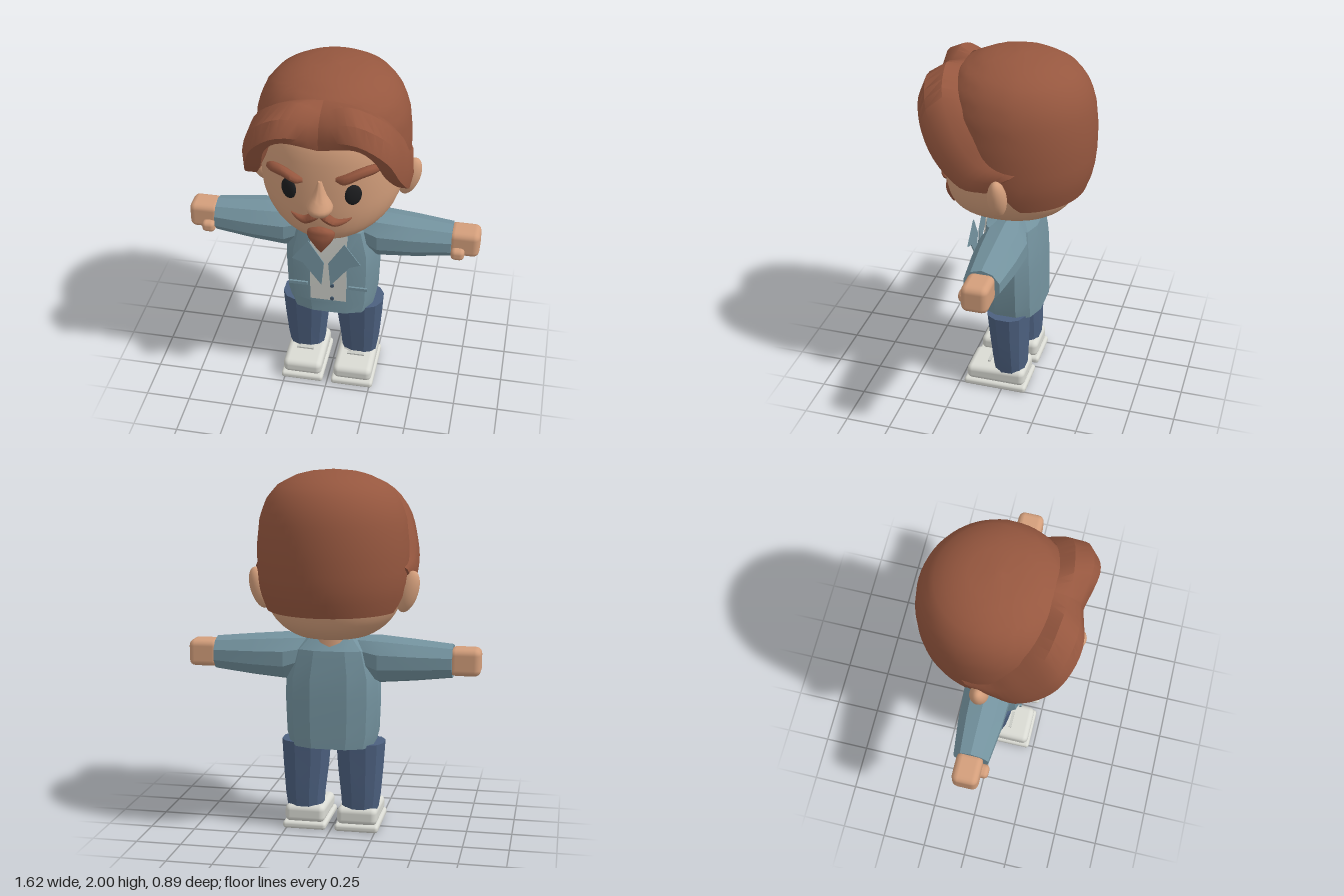
import * as THREE from 'three';
import { toCreasedNormals } from 'three/addons/utils/BufferGeometryUtils.js';
import { RoundedBoxGeometry } from 'three/addons/geometries/RoundedBoxGeometry.js';

const V = (x, y, z) => new THREE.Vector3(x, y, z);
const mat = (name, color) => {
  const m = new THREE.MeshStandardMaterial({ color });
  m.name = name;
  return m;
};

// Closed skin over a list of rings with equal point counts, always facing outwards
function loft(rings, crease = 0.9) {
  const n = rings[0].length, pts = rings.flat(), idx = [];
  for (let r = 0; r < rings.length - 1; r++) {
    for (let i = 0; i < n; i++) {
      const a = r * n + i, b = r * n + (i + 1) % n;
      idx.push(a, b, b + n, a, b + n, a + n);
    }
  }
  for (const [r, flip] of [[0, true], [rings.length - 1, false]]) {
    const c = pts.length;
    pts.push(rings[r].reduce((s, p) => s.add(p), V(0, 0, 0)).divideScalar(n));
    for (let i = 0; i < n; i++) {
      const a = r * n + i, b = r * n + (i + 1) % n;
      idx.push(...(flip ? [c, b, a] : [c, a, b]));
    }
  }
  let vol = 0;
  const mid = pts.reduce((s, p) => s.add(p), V(0, 0, 0)).divideScalar(pts.length);
  for (let i = 0; i < idx.length; i += 3) {
    const [a, b, c] = [0, 1, 2].map(k => pts[idx[i + k]].clone().sub(mid));
    vol += a.dot(b.cross(c));
  }
  if (vol < 0) idx.reverse();
  const g = new THREE.BufferGeometry().setFromPoints(pts);
  g.setIndex(idx);
  return toCreasedNormals(g, crease);
}

// Horizontal superellipse ring
function ring(y, rx, rz, cx = 0, cz = 0, n = 32, power = 2) {
  return Array.from({ length: n }, (_, i) => {
    const a = (i + 0.5) / n * Math.PI * 2, c = Math.cos(a), s = Math.sin(a);
    const e = 2 / power;
    return V(cx + rx * Math.sign(c) * Math.abs(c) ** e, y, cz + rz * Math.sign(s) * Math.abs(s) ** e);
  });
}

// Smooth a set of rings along their length
function smoothRings(rings, steps) {
  const curves = rings[0].map((_, i) => new THREE.CatmullRomCurve3(rings.map(r => r[i]), false, 'catmullrom', 0.5));
  return Array.from({ length: steps + 1 }, (_, k) => curves.map(c => c.getPoint(k / steps)));
}

// Tapered strand running in x: stations are [x, y, z, half height, half depth]
const strand = (stations, s = 1) => loft(smoothRings(stations.map(([x, y, z, h, d]) =>
  Array.from({ length: 8 }, (_, i) => {
    const a = i * Math.PI / 4;
    return V(s * x, y + h * Math.sin(a), z + d * Math.cos(a));
  })), 12));

// Linear lookup in a table of [key, value]
function lookup(table, k) {
  for (let i = 1; i < table.length; i++) {
    const [a, va] = table[i - 1], [b, vb] = table[i];
    if (k <= b) return va + (vb - va) * (k - a) / (b - a);
  }
  return table[table.length - 1][1];
}

export function createModel() {
  const root = new THREE.Group();
  root.name = 'figure';
  const skin = mat('skin', 0xd39e7b), hair = mat('hair', 0x96573f), teal = mat('jacket', 0x74939f);
  const denim = mat('denim', 0x4c607f), white = mat('shoe white', 0xd9dad3), grey = mat('shirt', 0xc8cac4);
  const black = mat('eye black', 0x1c1d1f), dark = mat('button', 0x41566a);
  grey.side = teal.side = THREE.DoubleSide;
  const add = (name, geo, m, x = 0, y = 0, z = 0) => {
    const mesh = new THREE.Mesh(geo, m);
    mesh.name = name;
    mesh.position.set(x, y, z);
    root.add(mesh);
    return mesh;
  };

  // Head: [y, half width, half depth, centre z]
  const head = [[1.1, 0.17, 0.22, 0.03], [1.115, 0.22, 0.27, 0.025], [1.16, 0.285, 0.32, 0.01], [1.22, 0.335, 0.348, 0],
    [1.3, 0.368, 0.364, -0.005], [1.4, 0.382, 0.37, -0.008], [1.55, 0.382, 0.37, -0.01], [1.7, 0.36, 0.355, -0.015],
    [1.82, 0.3, 0.29, -0.03], [1.92, 0.17, 0.17, -0.03]];
  add('head', loft(smoothRings(head.map(([y, a, b, c]) => ring(y, a, b, 0, c, 40, 2.15)), 24), 0.8), skin);
  add('neck', new THREE.CylinderGeometry(0.11, 0.115, 0.18, 12), skin, 0, 1.04, -0.03);
  const nose = [[1.315, 0.02, 0.02, 0.365], [1.33, 0.05, 0.05, 0.37], [1.365, 0.07, 0.075, 0.372], [1.4, 0.06, 0.062, 0.37],
    [1.45, 0.034, 0.042, 0.36], [1.52, 0.01, 0.015, 0.36]];
  add('nose', loft(smoothRings(nose.map(([y, a, b, c]) => ring(y, a, b, 0, c, 16)), 14)), skin);

  // Hair cap: radius by height, lower edge by angle from the front
  const radius = [[1.25, 0.362], [1.35, 0.398], [1.45, 0.41], [1.6, 0.412], [1.75, 0.396], [1.85, 0.357],
    [1.92, 0.297], [1.97, 0.2], [1.99, 0.12], [2, 0.012]];
  const edge = [[0, 1.8], [36, 1.78], [46, 1.67], [60, 1.55], [78, 1.41], [92, 1.37], [105, 1.25], [180, 1.25]];
  const capRing = (t, inset) => Array.from({ length: 64 }, (_, i) => {
    const deg = i / 64 * 360 - 180, a = deg * Math.PI / 180;
    const low = lookup(edge, Math.abs(deg)), y = low + (2 - low) * Math.sin(t * Math.PI / 2);
    const r = lookup(radius, y) - inset;
    return V(r * Math.sin(a), y, -0.03 + r * 1.015 * Math.cos(a));
  });
  const capRings = [capRing(0, 0.06), ...Array.from({ length: 17 }, (_, k) => capRing(k / 16, 0))];
  add('hairCap', loft(capRings, 0.75), hair);

  // Swept fringe: cross-sections from the centre parting to the ear
  const sections = [
    [[0, 1.93, 0.25], [0, 1.905, 0.33], [0, 1.86, 0.385], [0, 1.78, 0.405], [0, 1.725, 0.4], [0, 1.7, 0.34]],
    [[0.14, 1.915, 0.25], [0.15, 1.942, 0.32], [0.19, 1.89, 0.41], [0.2, 1.8, 0.445], [0.18, 1.76, 0.42], [0.17, 1.79, 0.33]],
    [[0.29, 1.83, 0.2], [0.325, 1.845, 0.28], [0.355, 1.78, 0.36], [0.345, 1.69, 0.4], [0.275, 1.69, 0.39], [0.25, 1.73, 0.27]],
    [[0.38, 1.67, 0.1], [0.41, 1.66, 0.18], [0.425, 1.6, 0.26], [0.405, 1.53, 0.31], [0.325, 1.53, 0.29], [0.3, 1.58, 0.2]],
    [[0.395, 1.55, 0], [0.43, 1.53, 0.06], [0.447, 1.47, 0.13], [0.432, 1.4, 0.165], [0.38, 1.4, 0.165], [0.35, 1.45, 0.1]],
    [[0.395, 1.5, -0.13], [0.414, 1.48, -0.1], [0.42, 1.44, -0.03], [0.412, 1.375, 0.03], [0.385, 1.36, 0.04], [0.36, 1.4, -0.02]],
  ];
  const brows = {
    1: [[0.08, 1.535, 0.35, 0.012, 0.012], [0.13, 1.542, 0.355, 0.03, 0.03], [0.21, 1.575, 0.33, 0.03, 0.03],
      [0.27, 1.583, 0.29, 0.025, 0.03], [0.295, 1.575, 0.265, 0.01, 0.015]],
    [-1]: [[0.09, 1.51, 0.35, 0.012, 0.012], [0.13, 1.52, 0.355, 0.026, 0.03], [0.2, 1.543, 0.335, 0.027, 0.03],
      [0.265, 1.538, 0.295, 0.024, 0.03], [0.297, 1.525, 0.265, 0.01, 0.015]],
  };
  const moustache = [[0, 1.318, 0.365, 0.016, 0.025], [0.035, 1.305, 0.37, 0.03, 0.03], [0.08, 1.275, 0.36, 0.022, 0.026],
    [0.125, 1.278, 0.345, 0.014, 0.018], [0.16, 1.292, 0.33, 0.004, 0.006]];
  const goatee = [[1.06, 0.004, 0.004, 0.345], [1.1, 0.032, 0.026, 0.345], [1.15, 0.066, 0.042, 0.342], [1.185, 0.076, 0.042, 0.34],
    [1.21, 0.058, 0.035, 0.345], [1.228, 0.01, 0.02, 0.345]];
  add('goatee', loft(smoothRings(goatee.map(([y, a, b, c]) => ring(y, a, b, 0, c, 12)), 12)), hair);

  // Jacket body and shirt panel
  const half = [[0.1, 0.15], [0.2, 0.12], [0.25, 0.04], [0.25, -0.08], [0.2, -0.15], [0.1, -0.185]];
  const outline = [...half, ...half.map(([x, z]) => [-x, z]).reverse()];
  const torso = [[0.49, 0.93, 1], [0.56, 1, 1], [0.75, 1.03, 0.98], [0.88, 1.02, 0.95], [1.03, 0.85, 0.85], [1.09, 0.6, 0.62]];
  add('jacketBody', loft(torso.map(([y, a, b]) => outline.map(([x, z]) =>
    V(x * a, y > 1.05 && z > 0 ? 1.04 : y, z * b))), 0.3), teal);
  const panel = [[0.58, 0.154], [0.75, 0.151], [0.88, 0.147], [1.035, 0.132]];
  add('shirt', loft(panel.map(([y, z]) => [V(-0.102, y, z), V(0.102, y, z), V(0.102, y, z - 0.008), V(-0.102, y, z - 0.008)]), 0.3), grey);
  for (const y of [0.64, 0.73]) {
    add('button', new THREE.CylinderGeometry(0.011, 0.011, 0.009, 10), dark, 0.033, y, 0.21).rotation.x = Math.PI / 2;
  }

  for (const s of [1, -1]) {
    const side = s > 0 ? 'left' : 'right';
    // Face and hair
    const fringe = sections.map(q => q.map(([x, y, z]) => V(s * x, y, z)));
    add(side + 'Fringe', loft(smoothRings(fringe, 20), 0.7), hair);
    add(side + 'Brow', strand(brows[s], s), hair);
    add(side + 'Moustache', strand(moustache, s), hair);
    const eye = add(side + 'Eye', new THREE.SphereGeometry(1, 20, 14), black, s * 0.168, 1.44, 0.334);
    eye.scale.set(0.045, 0.06, 0.018);
    eye.rotation.y = s * 0.42;
    const ear = add(side + 'Ear', new THREE.SphereGeometry(1, 16, 14), skin, s * 0.41, 1.35, -0.03);
    ear.scale.set(0.055, 0.118, 0.05);
    ear.rotation.z = -s * 0.3;

    // Sleeve: [x, centre y, half height, half depth]
    const arm = [[0.14, 1.0, 0.098, 0.09], [0.26, 0.975, 0.128, 0.135], [0.45, 0.975, 0.112, 0.125], [0.66, 0.977, 0.09, 0.1]];
    add(side + 'Sleeve', loft(arm.map(([x, cy, h, d]) => Array.from({ length: 10 }, (_, i) => {
      const a = (i + 0.5) * Math.PI / 5;
      return V(s * x, cy + h * 1.04 * Math.sin(a), -0.02 + d * Math.cos(a));
    })), 0.3), teal);
    add(side + 'Hand', new RoundedBoxGeometry(0.17, 0.15, 0.145, 2, 0.035), skin, s * 0.727, 0.978, -0.022);
    add(side + 'Thumb', new RoundedBoxGeometry(0.075, 0.066, 0.07, 2, 0.025), skin, s * 0.698, 0.934, 0.053);

    // Lapel and pocket trim
    const lapel = new THREE.Shape([[0.1, 1.015], [0.19, 0.893], [0.13, 0.87], [0.025, 0.735], [0.012, 0.88]]
      .map(([x, y]) => new THREE.Vector2(s * x, y)));
    const lg = new THREE.ExtrudeGeometry(lapel, { depth: 0.006, bevelEnabled: false });
    const lp = lg.attributes.position;
    for (let i = 0; i < lp.count; i++) lp.setZ(i, lp.getZ(i) + 0.212 - (lp.getY(i) - 0.735) * 0.05);
    add(side + 'Lapel', lg, teal);
    add(side + 'Pocket', new THREE.BoxGeometry(0.105, 0.018, 0.012), teal, s * 0.168, 0.682, 0.153);

    // Trouser leg: [y, centre x, half width, half depth, centre z]
    const leg = [[0.11, 0.155, 0.1, 0.09, -0.03], [0.2, 0.158, 0.11, 0.098, -0.028], [0.36, 0.155, 0.126, 0.108, -0.02],
      [0.505, 0.154, 0.136, 0.117, -0.015]];
    add(side + 'Leg', loft(leg.map(([y, x, a, b, z]) => ring(y, a, b, s * x, z, 12, 2.5)), 0.3), denim);

    // Shoe
    add(side + 'Sole', new RoundedBoxGeometry(0.245, 0.042, 0.365, 2, 0.018), white, s * 0.147, 0.026, 0.04);
    const upper = new RoundedBoxGeometry(0.225, 0.1, 0.34, 3, 0.032);
    const up = upper.attributes.position;
    for (let i = 0; i < up.count; i++) {
      if (up.getY(i) > 0 && up.getZ(i) > 0) up.setY(i, up.getY(i) - up.getZ(i) * 0.08);
    }
    add(side + 'ShoeUpper', upper, white, s * 0.147, 0.09, 0.04);
    add(side + 'ShoeCollar', loft([ring(0.12, 0.1, 0.1, s * 0.15, -0.02, 12, 2.5), ring(0.152, 0.09, 0.085, s * 0.15, -0.03, 12, 2.5)], 0.3), white);
    add(side + 'Lace', new THREE.BoxGeometry(0.1, 0.009, 0.016), grey, s * 0.15, 0.145, 0.09);
  }
  return root;
}
